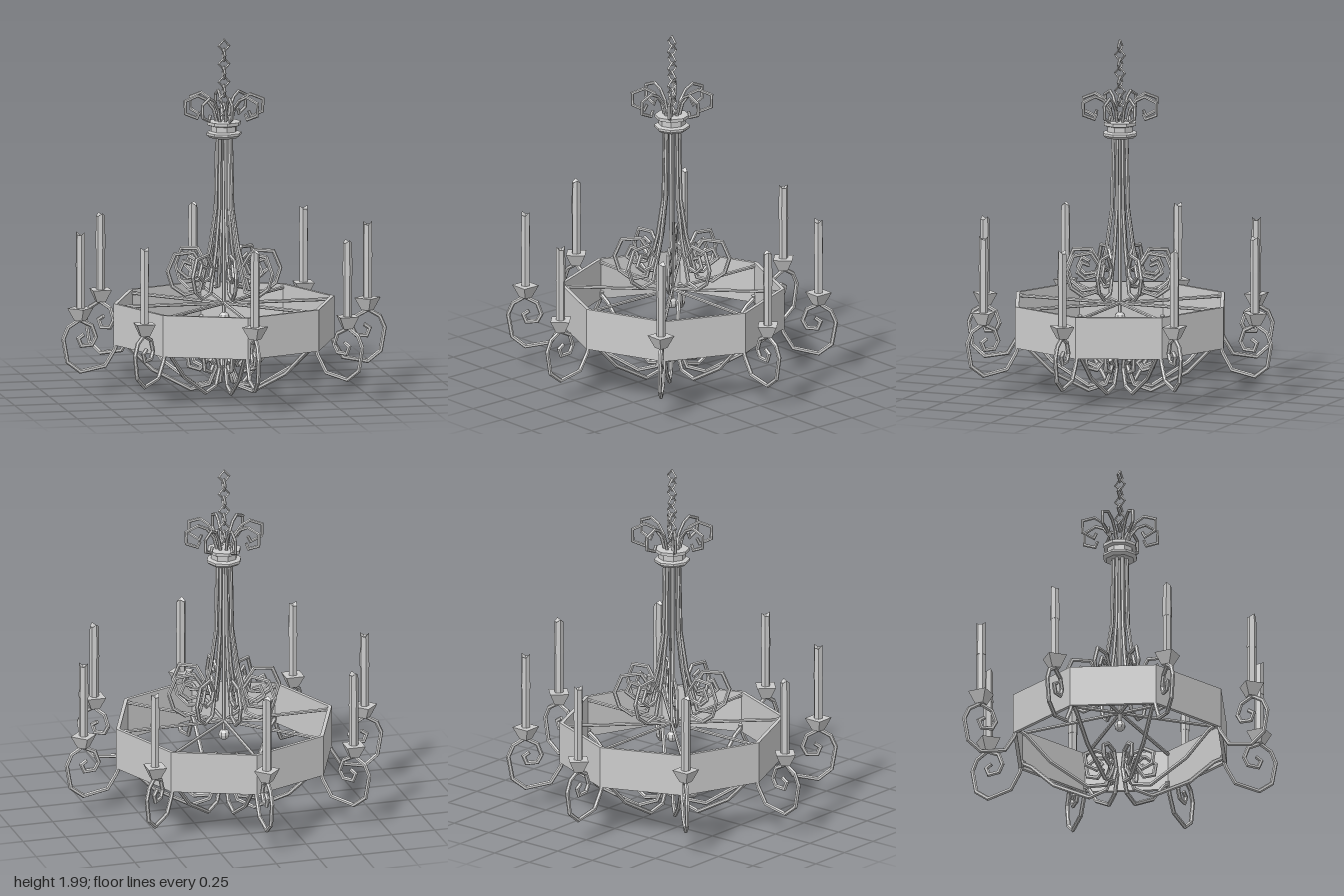
import * as THREE from 'three';

const mat = new THREE.MeshStandardMaterial({ color: 0xcccccc, flatShading: true, side: THREE.DoubleSide });

function add(parent, geometry, name, x = 0, y = 0, z = 0) {
  const mesh = new THREE.Mesh(geometry, mat);
  mesh.name = name;
  mesh.position.set(x, y, z);
  parent.add(mesh);
  return mesh;
}

// Mitred angular bar following [radius, height] points in the XY plane
function bar(points, r, sides = 6) {
  const p = points.map(([x, y]) => new THREE.Vector2(x, y));
  const pos = [], idx = [];
  const last = p.length - 1;
  p.forEach((c, i) => {
    const a = c.clone().sub(p[Math.max(i - 1, 0)]).normalize();
    const b = p[Math.min(i + 1, last)].clone().sub(c).normalize();
    const t = a.clone().add(b).normalize();
    const along = i === 0 ? b : a;
    const stretch = 1 / Math.max(0.6, t.dot(along));
    for (let k = 0; k < sides; k++) {
      const u = (k / sides) * Math.PI * 2;
      const n = Math.cos(u) * r * stretch;
      pos.push(c.x - t.y * n, c.y + t.x * n, Math.sin(u) * r);
    }
  });
  for (let i = 0; i < last; i++) {
    for (let k = 0; k < sides; k++) {
      const a = i * sides + k, b = i * sides + (k + 1) % sides;
      idx.push(a, a + sides, b, b, a + sides, b + sides);
    }
  }
  // End caps
  for (let k = 1; k < sides - 1; k++) {
    const e = last * sides;
    idx.push(0, k, k + 1, e, e + k + 1, e + k);
  }
  const g = new THREE.BufferGeometry();
  g.setAttribute('position', new THREE.Float32BufferAttribute(pos, 3));
  g.setIndex(idx);
  g.computeVertexNormals();
  return g;
}

// Uneven wax rim on the upper candle
function waxGeometry() {
  const g = new THREE.CylinderGeometry(0.025, 0.028, 0.2, 6, 1);
  const p = g.attributes.position;
  for (let i = 0; i < p.count; i++) {
    if (p.getY(i) < 0) continue;
    const a = Math.atan2(p.getZ(i), p.getX(i));
    const rim = Math.hypot(p.getX(i), p.getZ(i)) > 0.01;
    p.setY(i, rim ? 0.09 + 0.012 * Math.sin(a * 2 + 0.6) : 0.075);
  }
  g.computeVertexNormals();
  return g;
}

function octagon(r, Type) {
  const pts = [];
  for (let i = 0; i < 8; i++) {
    const a = (i * Math.PI) / 4;
    pts.push(new THREE.Vector2(Math.cos(a) * r, Math.sin(a) * r));
  }
  return new Type(pts);
}

export function createModel() {
  const model = new THREE.Group();
  model.name = 'chandelier';

  // Octagonal band
  const shape = octagon(0.63, THREE.Shape);
  shape.holes.push(octagon(0.608, THREE.Path));
  const band = new THREE.ExtrudeGeometry(shape, { depth: 0.235, bevelEnabled: false });
  band.rotateX(-Math.PI / 2);
  add(model, band, 'band', 0, 0.285, 0);

  // Geometries shared by the eight radial sections
  const parts = {
    candleArm: bar([[0.6, 0.33], [0.625, 0.26], [0.68, 0.17], [0.82, 0.142], [0.895, 0.2], [0.918, 0.33],
      [0.89, 0.395], [0.825, 0.435], [0.755, 0.4], [0.732, 0.335], [0.755, 0.292], [0.815, 0.288],
      [0.832, 0.33], [0.8, 0.352]], 0.012),
    lowerArm: bar([[0.6, 0.31], [0.55, 0.28], [0.41, 0.14], [0.19, 0.02], [0.085, 0.045], [0.046, 0.14],
      [0.078, 0.235], [0.15, 0.25], [0.21, 0.215], [0.2, 0.15], [0.14, 0.13], [0.108, 0.17], [0.14, 0.2]], 0.012),
    stem: bar([[0.04, 1.46], [0.048, 1.04], [0.08, 0.82], [0.14, 0.575], [0.225, 0.555], [0.295, 0.605],
      [0.322, 0.69], [0.282, 0.785], [0.175, 0.795], [0.125, 0.72], [0.147, 0.665], [0.21, 0.652],
      [0.255, 0.69], [0.23, 0.745], [0.185, 0.725]], 0.011),
    crownScroll: bar([[0.035, 1.5], [0.06, 1.6], [0.1, 1.655], [0.15, 1.68], [0.222, 1.65], [0.22, 1.58],
      [0.155, 1.553], [0.14, 1.585]], 0.009),
    spoke: bar([[0, 0.5], [0.612, 0.5]], 0.01),
  };
  const cup = new THREE.CylinderGeometry(0.075, 0.035, 0.07, 4);
  const candle = new THREE.CylinderGeometry(0.026, 0.026, 0.25, 6);
  const wax = waxGeometry();

  for (let i = 0; i < 8; i++) {
    const section = new THREE.Group();
    section.name = 'section' + (i + 1);
    section.rotation.y = (i * Math.PI) / 4;
    for (const [name, g] of Object.entries(parts)) add(section, g, name);
    add(section, cup, 'candleCup', 0.82, 0.467, 0);
    add(section, candle, 'candle', 0.82, 0.61, 0);
    add(section, wax, 'meltedCandleTop', 0.82, 0.833, 0);
    model.add(section);
  }

  // Crown collar
  const profile = [[0, 1.44], [0.082, 1.44], [0.1, 1.455], [0.1, 1.468], [0.075, 1.475], [0.075, 1.505],
    [0.097, 1.512], [0.097, 1.53], [0.06, 1.533], [0, 1.533]].map(([x, y]) => new THREE.Vector2(x, y));
  add(model, new THREE.LatheGeometry(profile, 8), 'crownCollar');

  // Central rod with ball
  add(model, new THREE.CylinderGeometry(0.012, 0.012, 1.04, 6), 'centreRod', 0, 0.94, 0);
  add(model, new THREE.SphereGeometry(0.032, 8, 6), 'hubBall', 0, 0.42, 0);

  // Chain of diamond links, alternately turned
  const link = new THREE.TorusGeometry(0.03, 0.007, 4, 4);
  link.scale(1, 1.15, 1);
  for (let i = 0; i < 9; i++) {
    const l = add(model, link, 'chainLink' + (i + 1), 0, 1.957 - i * 0.051, 0);
    l.rotation.y = (i % 2) * Math.PI / 2;
  }
  return model;
}
